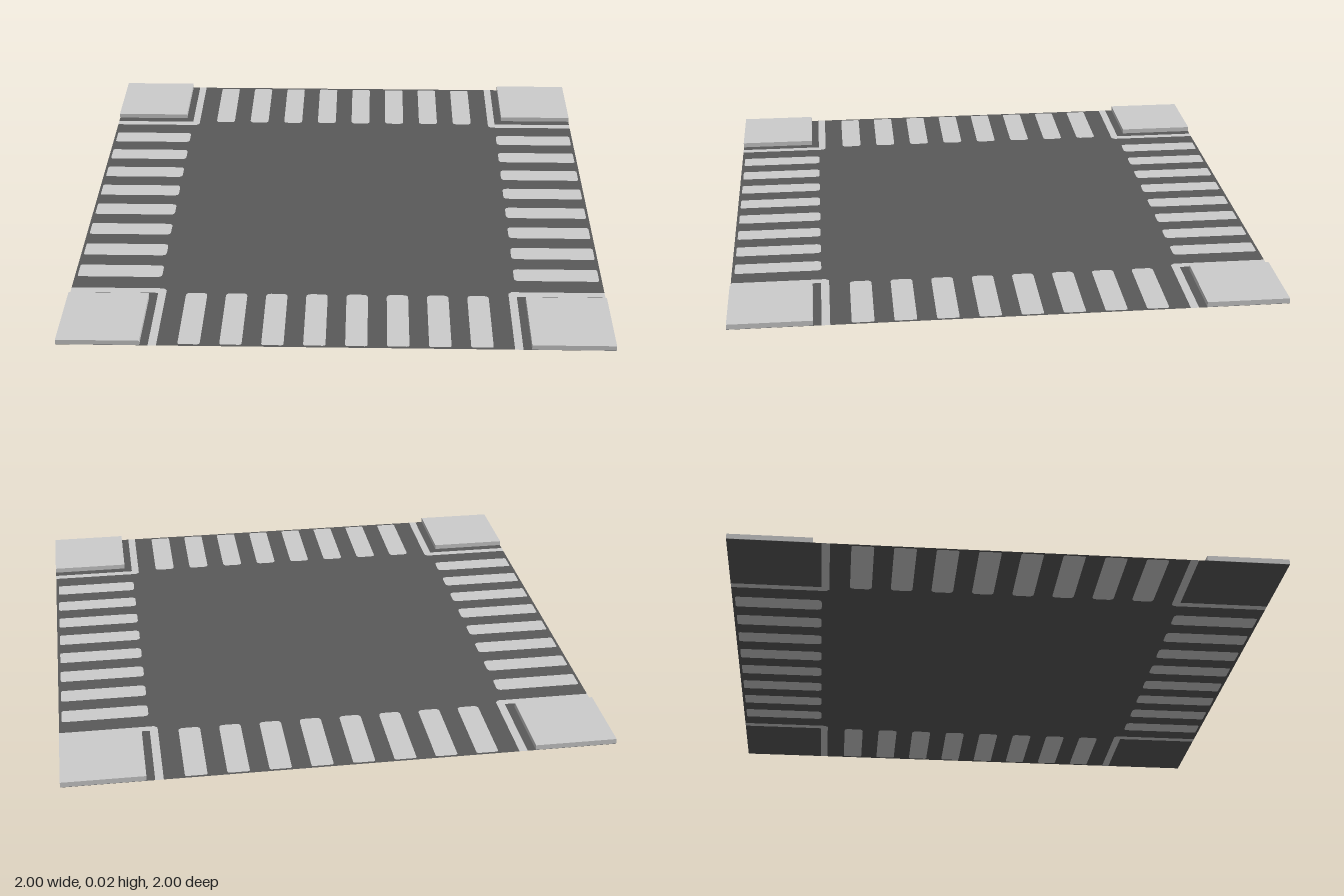
import * as THREE from 'three';

const asphalt = new THREE.MeshStandardMaterial({ color: 0x595959, side: THREE.DoubleSide });
asphalt.name = 'dark asphalt';
const paint = new THREE.MeshStandardMaterial({ color: 0xcccccc, side: THREE.DoubleSide });
paint.name = 'light concrete';

const EDGE = 1, PAD = 0.7, LINE_IN = 0.67, LINE_OUT = 0.64, PAD_H = 0.02;

// Closed outline of a crosswalk stripe lying along +y, corners slightly cut round
function stripePoints(cx, angle) {
  const w = 0.04, r = 0.018, y0 = 0.668, y1 = 0.99;
  const outline = new THREE.Shape();
  outline.moveTo(cx - w + r, y0);
  outline.lineTo(cx + w - r, y0);
  outline.quadraticCurveTo(cx + w, y0, cx + w, y0 + r);
  outline.lineTo(cx + w, y1 - r / 2);
  outline.quadraticCurveTo(cx + w, y1, cx + w - r / 2, y1);
  outline.lineTo(cx - w + r / 2, y1);
  outline.quadraticCurveTo(cx - w, y1, cx - w, y1 - r / 2);
  outline.lineTo(cx - w, y0 + r);
  outline.quadraticCurveTo(cx - w, y0, cx - w + r, y0);
  return outline.getPoints(4).slice(0, -1).map((p) => p.rotateAround(new THREE.Vector2(), angle));
}

// Flat, upward-facing mesh at ground level
function flat(name, shapes, material) {
  const geometry = new THREE.ShapeGeometry(shapes);
  geometry.rotateX(-Math.PI / 2);
  const mesh = new THREE.Mesh(geometry, material);
  mesh.name = name;
  return mesh;
}

// Polygon given for the +x +y corner, turned to corner number k
function cornerPoints(points, k) {
  return points.map(([x, y]) => new THREE.Vector2(x, y).rotateAround(new THREE.Vector2(), k * Math.PI / 2));
}

export function createModel() {
  const group = new THREE.Group();
  group.name = 'crossroads';
  const c = 0.012;

  // Road: a cross-shaped surface with openings where the stripes lie
  const roadOutline = [];
  const stripes = [];
  const curbLines = [];
  const cornerGround = [];
  for (let k = 0; k < 4; k++) {
    roadOutline.push(...cornerPoints([
      [EDGE, LINE_OUT], [LINE_OUT + c, LINE_OUT], [LINE_OUT, LINE_OUT + c], [LINE_OUT, EDGE],
    ], k));
    curbLines.push(new THREE.Shape(cornerPoints([
      [EDGE, LINE_OUT], [EDGE, LINE_IN], [LINE_IN, LINE_IN], [LINE_IN, EDGE],
      [LINE_OUT, EDGE], [LINE_OUT, LINE_OUT + c], [LINE_OUT + c, LINE_OUT],
    ], k)));
    cornerGround.push(new THREE.Shape(cornerPoints([
      [LINE_IN, LINE_IN], [EDGE, LINE_IN], [EDGE, EDGE], [LINE_IN, EDGE],
    ], k)));
    for (let i = 0; i < 8; i++) stripes.push(stripePoints((i - 3.5) * 0.15, k * Math.PI / 2));
  }
  const road = new THREE.Shape(roadOutline);
  road.holes = stripes.map((points) => new THREE.Path(points));

  group.add(
    flat('road', road, asphalt),
    flat('cornerGround', cornerGround, asphalt),
    flat('curbLines', curbLines, paint),
    flat('crosswalkStripes', stripes.map((points) => new THREE.Shape(points)), paint),
  );

  // Raised sidewalk slab on each corner, just clear of the ground plane
  const size = EDGE - PAD, gap = 0.001;
  const slab = new THREE.BoxGeometry(size, PAD_H - gap, size);
  for (const sx of [-1, 1]) {
    for (const sz of [-1, 1]) {
      const mesh = new THREE.Mesh(slab, paint);
      mesh.name = 'sidewalkSlab';
      mesh.position.set(sx * (PAD + EDGE) / 2, (PAD_H + gap) / 2, sz * (PAD + EDGE) / 2);
      group.add(mesh);
    }
  }
  return group;
}
